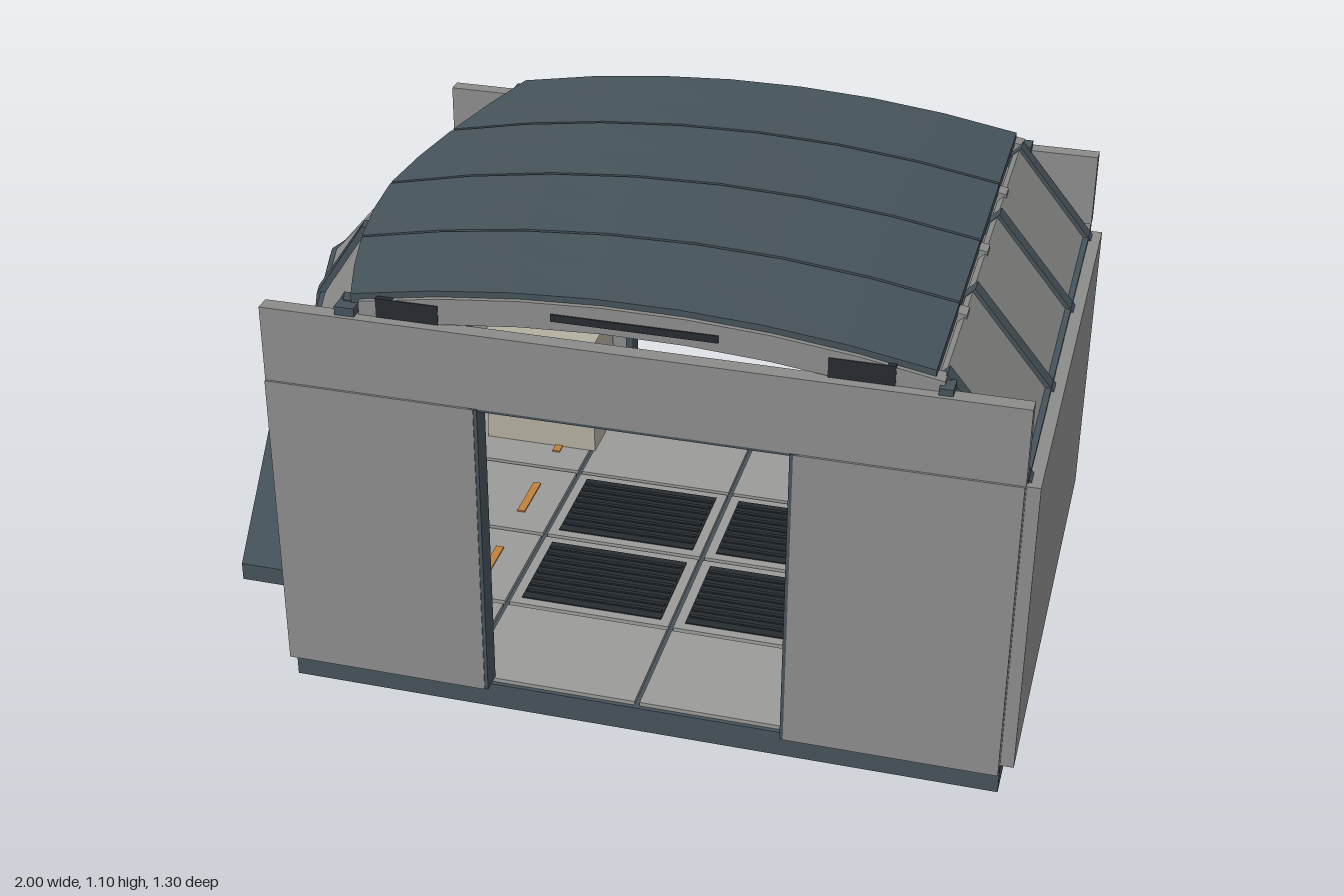
import * as THREE from 'three';

const mat = (name, color) => new THREE.MeshStandardMaterial({ name, color, side: THREE.DoubleSide });

export function createModel() {
  const root = new THREE.Group();
  root.name = 'pavilionCabin';
  const wall = mat('wallGrey', 0x8c8d8b), slate = mat('slate', 0x46535a), dark = mat('charcoal', 0x262b30);
  const glass = mat('blueGlass', 0x6c98a8), beige = mat('beige', 0xb3b0a0), orange = mat('orange', 0xc0803c);
  const tile = mat('floorGrey', 0x9a9b99);

  const add = (name, geo, m) => {
    const mesh = new THREE.Mesh(geo, m);
    mesh.name = name;
    root.add(mesh);
    return mesh;
  };
  // Box given by its limits on each axis
  const box = (name, m, x0, x1, y0, y1, z0, z1) => {
    const b = add(name, new THREE.BoxGeometry(x1 - x0, y1 - y0, z1 - z0), m);
    b.position.set((x0 + x1) / 2, (y0 + y1) / 2, (z0 + z1) / 2);
    return b;
  };
  // Flat plate from an x/z outline
  const plate = (name, m, pts, y0, y1) => {
    const shape = new THREE.Shape(pts.map(([x, z]) => new THREE.Vector2(x, -z)));
    const geo = new THREE.ExtrudeGeometry(shape, { depth: y1 - y0, bevelEnabled: false });
    add(name, geo.rotateX(-Math.PI / 2).translate(0, y0, 0), m);
  };
  // Flat-faced solid joining a row of equal cross-sections
  const loft = (name, m, secs) => {
    const pos = [], n = secs[0].length;
    const tri = (a, b, c) => pos.push(...a, ...b, ...c);
    for (let i = 0; i < secs.length - 1; i++) {
      for (let j = 0; j < n; j++) {
        const k = (j + 1) % n, a = secs[i], b = secs[i + 1];
        tri(a[j], b[j], b[k]);
        tri(a[j], b[k], a[k]);
      }
    }
    const first = secs[0], last = secs[secs.length - 1];
    for (let j = 1; j < n - 1; j++) {
      tri(first[0], first[j], first[j + 1]);
      tri(last[0], last[j + 1], last[j]);
    }
    const geo = new THREE.BufferGeometry();
    geo.setAttribute('position', new THREE.Float32BufferAttribute(pos, 3));
    geo.computeVertexNormals();
    add(name, geo, m);
  };
  const lerp = THREE.MathUtils.lerp;

  // Base slab with pointed nose
  plate('baseSlab', slate, [[-0.88, 0], [-0.69, 0.612], [0.97, 0.612], [0.97, -0.612], [-0.69, -0.612]], 0, 0.064);

  // Floor tiles, grates and marker strips
  const xs = [-0.68, -0.27, 0.14, 0.55, 0.96], zs = [-0.608, -0.308, 0, 0.308, 0.608], g = 0.006;
  for (let i = 0; i < 4; i++) {
    for (let j = 0; j < 4; j++) {
      const grate = (i === 1 || i === 2) && (j === 1 || j === 2);
      box('floorTile', tile, xs[i] + g, xs[i + 1] - g, 0.064, 0.074, zs[j] + g, zs[j + 1] - g);
      if (!grate) continue;
      box('grate', dark, xs[i] + 0.03, xs[i + 1] - 0.03, 0.074, 0.077, zs[j] + 0.03, zs[j + 1] - 0.03);
      for (let k = 1; k < 9; k++) {
        const z = zs[j] + 0.03 + k * 0.0275;
        box('grateSlat', dark, xs[i] + 0.035, xs[i + 1] - 0.035, 0.077, 0.081, z - 0.005, z + 0.005);
      }
    }
  }
  for (const x of [-0.36, 0.62]) {
    for (const z of [-0.46, -0.155, 0.155, 0.46]) box('markerStrip', orange, x - 0.01, x + 0.01, 0.074, 0.078, z - 0.07, z + 0.07);
  }
  plate('noseFloor', tile, [[-0.865, 0], [-0.69, 0.58], [-0.69, -0.58]], 0.064, 0.074);

  // Front and back walls with doorways
  for (const s of [-1, 1]) {
    const zbox = (name, m, x0, x1, y0, y1, a, b) => box(name, m, x0, x1, y0, y1, Math.min(a * s, b * s), Math.max(a * s, b * s));
    zbox('sideWallPanel', wall, -0.69, -0.21, 0.075, 0.82, 0.613, 0.65);
    zbox('sideWallPanel', wall, 0.49, 0.97, 0.075, 0.82, 0.613, 0.65);
    zbox('lintel', wall, -0.69, 0.972, 0.82, 1.0, 0.608, 0.645);
    zbox('doorPost', slate, -0.222, -0.202, 0.075, 0.82, 0.595, 0.648);
    zbox('doorPost', slate, 0.482, 0.502, 0.075, 0.82, 0.595, 0.648);
    zbox('doorHead', slate, -0.222, 0.502, 0.813, 0.835, 0.595, 0.643);
    zbox('roofBracket', slate, -0.52, -0.475, 0.985, 1.02, 0.59, 0.635);
    zbox('roofBracket', slate, 0.78, 0.81, 0.98, 1.015, 0.59, 0.635);
  }

  // Closed end wall and the sloped panel above it
  box('endWall', wall, 0.95, 1.0, 0.075, 0.8, -0.612, 0.612);
  const slope = (x0, y0, x1, y1, t, z) => [[x0, y0, z], [x1, y1, z], [x1 - t, y1 - t, z], [x0 - t, y0 - t, z]];
  loft('endSlope', wall, [-0.6, 0.6].map(z => slope(0.965, 0.8, 0.785, 1.02, 0.015, z)));
  for (const z of [-0.575, -0.19, 0.19, 0.575]) {
    loft('endRib', slate, [z - 0.02, z + 0.02].map(w => slope(0.978, 0.8, 0.79, 1.027, 0.04, w)));
  }
  box('endSlopeSill', slate, 0.93, 0.972, 0.795, 0.808, -0.6, 0.6);

  // Arched roof: four strips whose nose edge follows a curved chevron
  const roofY = x => 1.105 - 0.159 * (x - 0.14) ** 2;
  const roofEdge = z => -0.63 + 0.14 * (Math.abs(z) / 0.61) ** 1.6;
  const arch = (name, m, z0, z1, x0, x1, top, bottom, n = 7) => {
    const secs = [];
    for (let i = 0; i <= n; i++) {
      const t = i / n, a = lerp(x0(z0), x1, t), b = lerp(x0(z1), x1, t);
      secs.push([[a, roofY(a) - top, z0], [b, roofY(b) - top, z1], [b, roofY(b) - bottom, z1], [a, roofY(a) - bottom, z0]]);
    }
    loft(name, m, secs);
  };
  for (let j = 0; j < 4; j++) {
    const a = -0.61 + j * 0.307, b = a + 0.298, mid = (a + b) / 2;
    arch('roofStrip', slate, a, mid, roofEdge, 0.77, 0, 0.022);
    arch('roofStrip', slate, mid, b, roofEdge, 0.77, 0, 0.022);
    arch('ceilingPanel', dark, a, b, () => -0.47, 0.76, 0.024, 0.032);
    for (const x of [-0.32, 0.36]) arch('ceilingLight', orange, a + 0.06, b - 0.06, () => x, x + 0.22, 0.033, 0.038, 2);
  }
  for (const z of [-0.6, -0.308, 0, 0.308, 0.6]) {
    arch('ceilingRib', wall, z - 0.02, z + 0.02, () => -0.47, 0.79, 0.014, Math.abs(z) > 0.5 ? 0.075 : 0.06);
  }
  for (const s of [-1, 1]) {
    box('ceilingVent', dark, -0.04, 0.32, 1.045, 1.062, s * 0.55 - 0.073, s * 0.55 + 0.073);
    for (const x of [-0.36, 0.62]) box('ceilingMount', dark, x - 0.07, x + 0.07, 1.0, 1.045, s * 0.61 - 0.012, s * 0.61 + 0.012);
  }

  // Nose surface: s from 0 to 1 is the window, 1 to 2 the slope up to the roof
  const nose = (s, z) => {
    const t = Math.abs(z) / 0.61;
    const low = [-0.88 + 0.19 * t, 0.3], mid = [-0.785 + 0.165 * t, 0.81];
    const top = [roofEdge(z) + 0.005, roofY(roofEdge(z)) - 0.012];
    const [p, q, k] = s <= 1 ? [low, mid, s] : [mid, top, s - 1];
    return [lerp(p[0], q[0], k), lerp(p[1], q[1], k)];
  };
  const band = (name, m, s0, s1, z0, z1, out, inn, n = 2) => {
    const secs = [];
    for (let i = 0; i <= n; i++) {
      const z = lerp(z0, z1, i / n), [ax, ay] = nose(s0, z), [bx, by] = nose(s1, z);
      secs.push([[ax - out, ay, z], [bx - out, by, z], [bx + inn, by, z], [ax + inn, ay, z]]);
    }
    loft(name, m, secs);
  };
  band('noseWindow', glass, 0, 1, -0.605, 0.605, 0, 0.012, 12);
  band('noseSlope', wall, 1, 2, -0.605, 0.605, 0, 0.015, 12);
  band('windowSill', slate, 0, 0.05, -0.605, 0.605, 0.012, 0.03, 12);
  band('windowBar', slate, 0.495, 0.52, -0.605, 0.605, 0.01, 0.02, 12);
  band('windowHead', slate, 0.97, 1.03, -0.605, 0.605, 0.012, 0.03, 12);
  for (const z of [-0.585, -0.2, 0.2, 0.585]) {
    band('mullion', slate, 0, 1, z - 0.02, z + 0.02, 0.018, 0.025);
    band('slopeRib', slate, 1, 1.97, z - 0.02, z + 0.02, 0.018, 0.02);
  }

  // Ledge running out below the window, with the console that carries it
  plate('ledge', slate, [[-1, 0], [-0.81, 0.61], [-0.57, 0.61], [-0.6, 0], [-0.57, -0.61], [-0.81, -0.61]], 0.247, 0.29);
  box('console', beige, -0.83, -0.54, 0.075, 0.22, -0.19, 0.19);
  box('consoleTop', slate, -0.82, -0.535, 0.22, 0.247, -0.2, 0.2);
  for (const z of [-0.095, 0.095]) {
    box('drawer', wall, -0.54, -0.532, 0.09, 0.21, z - 0.085, z + 0.085);
    box('drawerHandle', dark, -0.532, -0.522, 0.165, 0.18, z - 0.04, z + 0.04);
  }

  // Corner cabinets beside the doorways
  box('cabinet', beige, -0.56, -0.26, 0.075, 0.4, -0.605, -0.42);
  box('cabinet', beige, 0.62, 0.945, 0.075, 0.5, 0.4, 0.605);
  box('cabinetPost', slate, 0.6, 0.62, 0.075, 0.5, 0.4, 0.42);

  return root;
}
